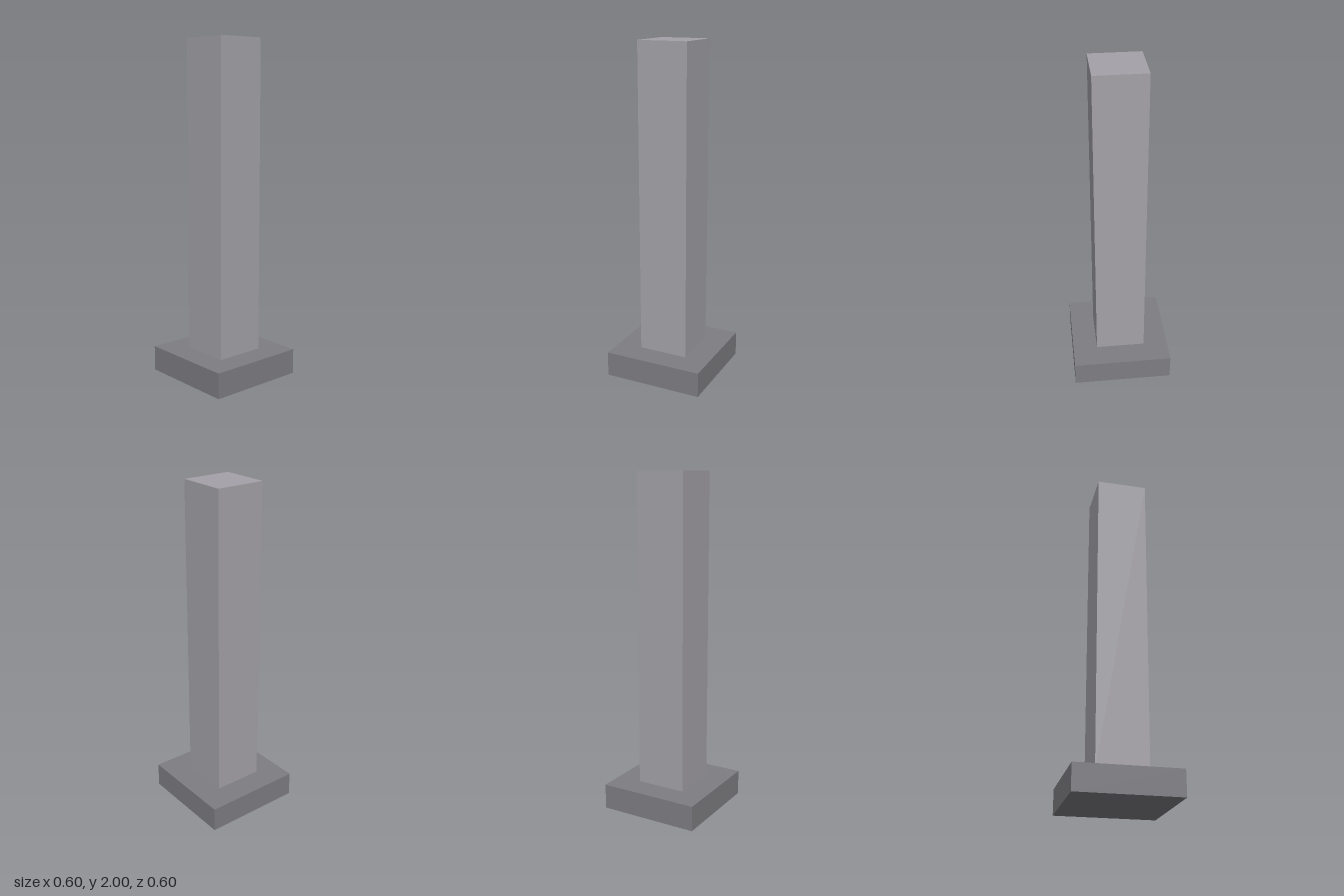
import * as THREE from 'three';

// Square block standing on height y
function block(name, width, height, y, color) {
  const mesh = new THREE.Mesh(
    new THREE.BoxGeometry(width, height, width),
    new THREE.MeshStandardMaterial({ color })
  );
  mesh.name = name;
  mesh.position.y = y + height / 2;
  return mesh;
}

export function createModel() {
  const group = new THREE.Group();
  group.name = 'pillar';

  const baseHeight = 0.15;
  // Wide dark plinth with the lighter shaft on top
  group.add(block('base', 0.6, baseHeight, 0, 0x7e7e83));
  group.add(block('shaft', 0.3, 2 - baseHeight, baseHeight, 0xa4a2a8));

  return group;
}
